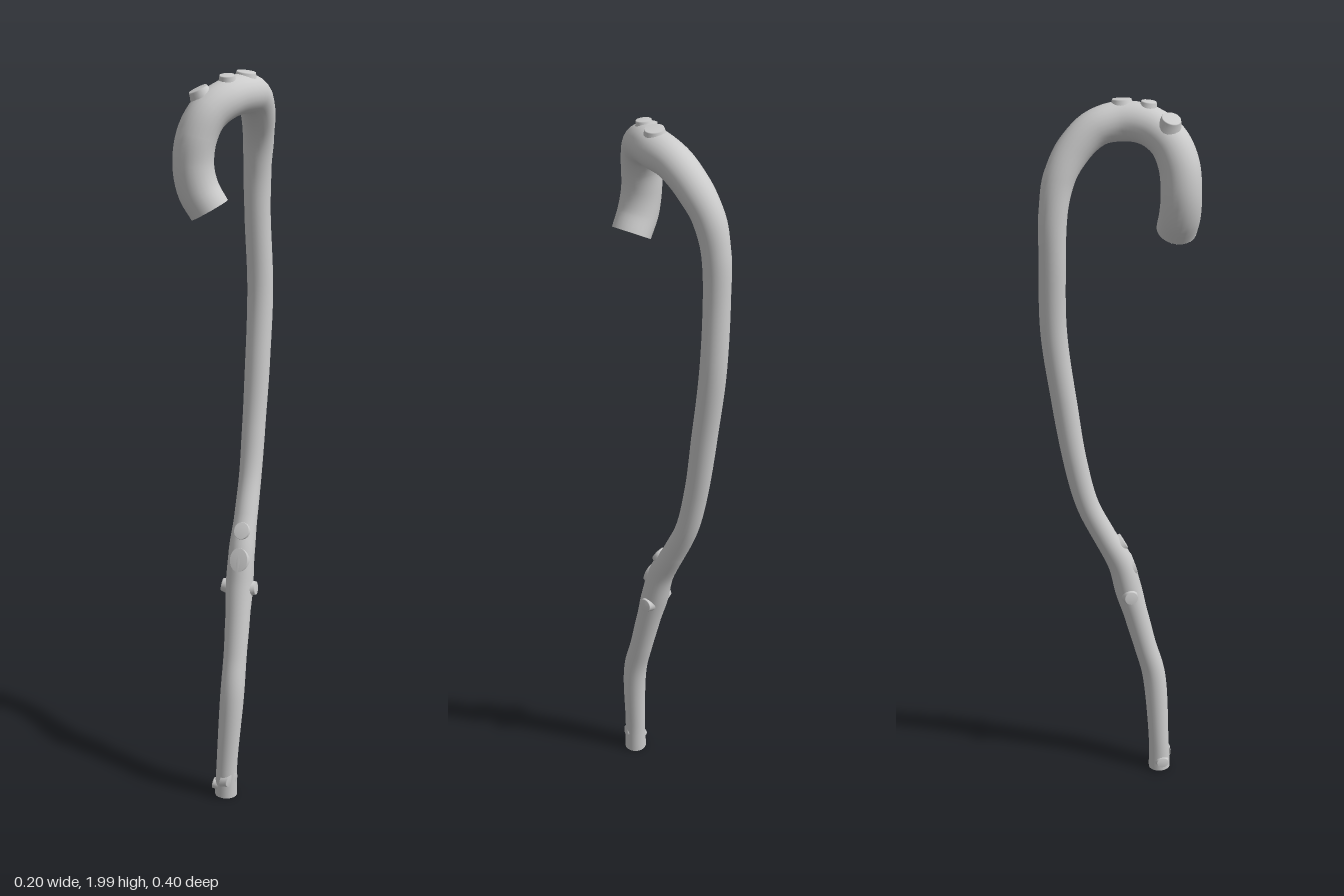
import * as THREE from 'three';

const material = new THREE.MeshStandardMaterial({ color: 0xcccccc, side: THREE.DoubleSide });

// Centre line from the foot to the tip of the crook: x, y, z, radius
const PATH = [
  [0.028, 0.01, 0.128, 0.031], [0.03, 0.1, 0.126, 0.029], [0.042, 0.32, 0.112, 0.033],
  [0.043, 0.42, 0.086, 0.032], [0.043, 0.52, 0.06, 0.034], [0.042, 0.61, 0.036, 0.038],
  [0.042, 0.7, 0.012, 0.036], [0.042, 0.79, -0.034, 0.032], [0.042, 0.89, -0.08, 0.031],
  [0.043, 1.02, -0.112, 0.032], [0.046, 1.2, -0.14, 0.034], [0.046, 1.4, -0.165, 0.035],
  [0.037, 1.6, -0.167, 0.035], [0.037, 1.72, -0.163, 0.037], [0.044, 1.81, -0.144, 0.041],
  [0.053, 1.88, -0.102, 0.045], [0.055, 1.928, -0.046, 0.047], [0.046, 1.943, 0.018, 0.05],
  [0.018, 1.937, 0.075, 0.05], [-0.02, 1.905, 0.12, 0.051], [-0.043, 1.85, 0.142, 0.052],
  [-0.05, 1.78, 0.148, 0.052], [-0.037, 1.72, 0.149, 0.053], [-0.008, 1.67, 0.148, 0.052],
];

const SEGMENTS = 180, SIDES = 24;
const curve = new THREE.CatmullRomCurve3(PATH.map(([x, y, z]) => new THREE.Vector3(x, y, z)));

function radiusAt(u) {
  const s = curve.getUtoTmapping(u) * (PATH.length - 1);
  const i = Math.min(Math.floor(s), PATH.length - 2);
  return THREE.MathUtils.lerp(PATH[i][3], PATH[i + 1][3], THREE.MathUtils.smoothstep(s - i, 0, 1));
}

// Tube whose rings are scaled to the local thickness of the stick
function makeStick() {
  const geometry = new THREE.TubeGeometry(curve, SEGMENTS, 1, SIDES, false);
  const pos = geometry.attributes.position, v = new THREE.Vector3();
  for (let i = 0; i <= SEGMENTS; i++) {
    const centre = curve.getPointAt(i / SEGMENTS), r = radiusAt(i / SEGMENTS);
    for (let j = 0; j <= SIDES; j++) {
      const k = i * (SIDES + 1) + j;
      v.fromBufferAttribute(pos, k).sub(centre).multiplyScalar(r).add(centre);
      pos.setXYZ(k, v.x, v.y, v.z);
    }
  }
  const stick = new THREE.Mesh(geometry, material);
  stick.name = 'stick';
  return stick;
}

// Flat cut end of the stick
function makeEnd(name, u, outward) {
  const end = new THREE.Mesh(new THREE.CircleGeometry(radiusAt(u), SIDES), material);
  const p = curve.getPointAt(u);
  end.position.copy(p);
  end.lookAt(p.clone().addScaledVector(curve.getTangentAt(u), outward));
  end.name = name;
  return end;
}

// Sawn-off branch stub: a flared collar that ends in a flat cut at tip
function makeKnot(name, tip, direction, radius, stretch = 1, depth = 0.035) {
  const profile = [[0, 0], [radius, 0], [radius * 1.04, -0.003], [radius * 1.15, -depth * 0.4], [radius * 1.45, -depth]]
    .map(([r, y]) => new THREE.Vector2(r, y)).reverse();
  const geometry = new THREE.LatheGeometry(profile, 20);
  const knot = new THREE.Mesh(geometry, material);
  knot.position.set(...tip);
  knot.quaternion.setFromUnitVectors(new THREE.Vector3(0, 1, 0), new THREE.Vector3(...direction).normalize());
  knot.scale.z = stretch;
  knot.name = name;
  return knot;
}

export function createModel() {
  const group = new THREE.Group();
  group.name = 'walkingStick';
  group.add(makeStick(), makeEnd('foot', 0, -1), makeEnd('crookEnd', 1, 1));

  // Stubs along the top of the crook
  group.add(
    makeKnot('crookKnotBack', [0.052, 1.998, 0.018], [0.12, 1, 0], 0.024),
    makeKnot('crookKnotMiddle', [0.019, 1.996, 0.08], [0, 1, 0.12], 0.019),
    makeKnot('crookKnotFront', [-0.045, 1.966, 0.122], [-0.45, 1, 0.15], 0.024),
  );

  // Pair of side stubs and two front stubs at the joint
  for (const s of [-1, 1]) {
    group.add(makeKnot(s > 0 ? 'leftKnot' : 'rightKnot', [0.041 + s * 0.048, 0.605, 0.034], [s, 0.1, 0], 0.018, 1, 0.03));
  }
  group.add(
    makeKnot('frontKnotLower', [0.043, 0.69, 0.053], [0, 0.3, 1], 0.024, 1.35, 0.03),
    makeKnot('frontKnotUpper', [0.043, 0.765, 0.023], [0, 0.55, 1], 0.02, 1.15, 0.04),
  );

  // Stubs at the foot
  group.add(
    makeKnot('footKnotFront', [0.05, 0.065, 0.147], [1, 0, 0.7], 0.016, 1.4, 0.02),
    makeKnot('footKnotSide', [-0.008, 0.04, 0.13], [-1, 0.1, 0], 0.014, 1.2, 0.025),
  );
  return group;
}
